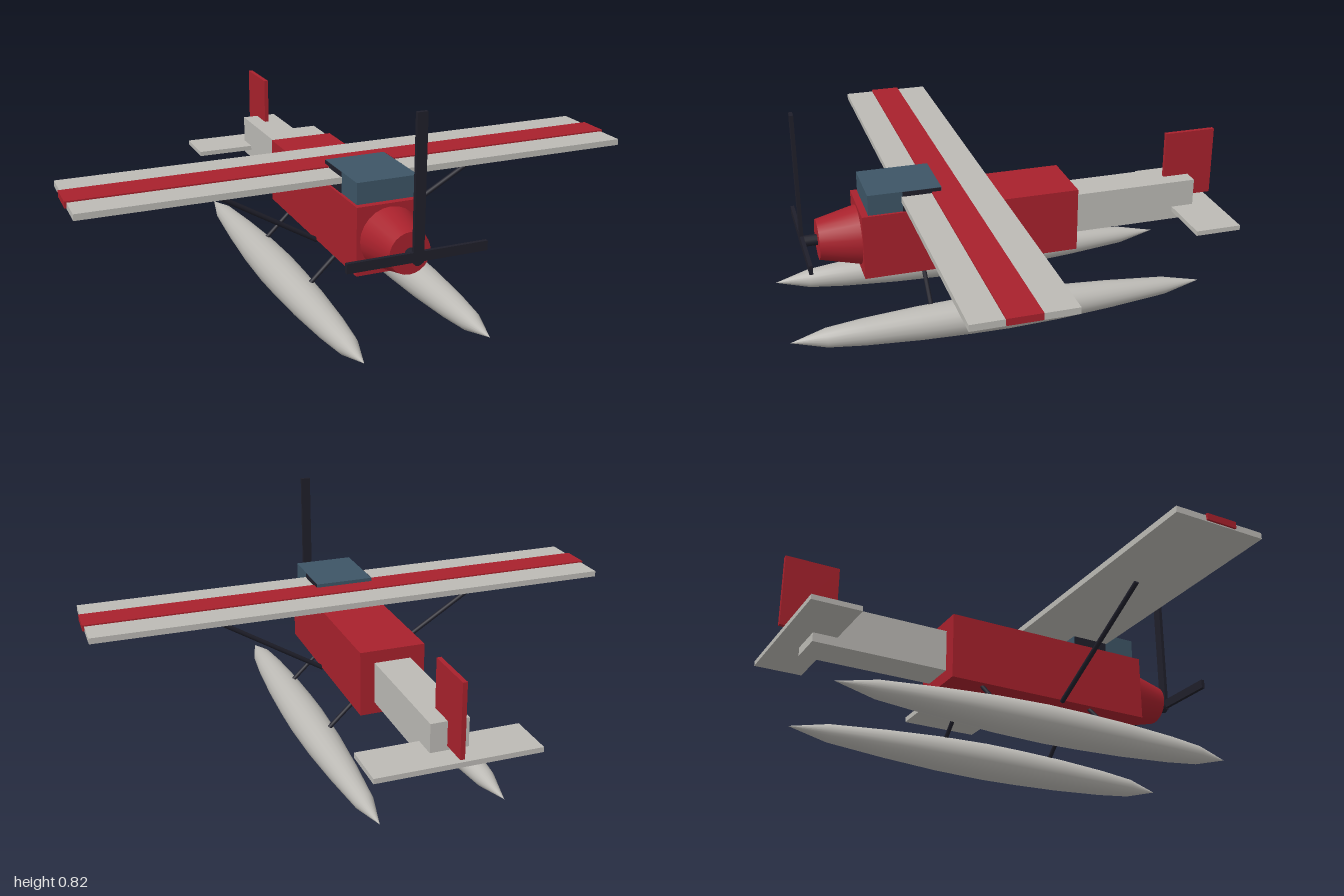
import * as THREE from 'three';

const mat = (name, color) => {
  const m = new THREE.MeshStandardMaterial({ color });
  m.name = name;
  return m;
};

export function createModel() {
  const red = mat('red paint', 0xa8212c);
  const grey = mat('pale grey paint', 0xbcbab5);
  const glass = mat('blue glass', 0x3d5566);
  const dark = mat('dark metal', 0x1f1f2a);
  const plane = new THREE.Group();
  plane.name = 'floatplane';

  const add = (name, geometry, material) => {
    const mesh = new THREE.Mesh(geometry, material);
    mesh.name = name;
    plane.add(mesh);
    return mesh;
  };
  // box given by its limits on each axis
  const box = (name, material, [x0, x1], [y0, y1], [z0, z1]) => {
    const g = new THREE.BoxGeometry(x1 - x0, y1 - y0, z1 - z0);
    g.translate((x0 + x1) / 2, (y0 + y1) / 2, (z0 + z1) / 2);
    return add(name, g, material);
  };
  // round rod between two points
  const rod = (name, a, b, radius) => {
    const p = new THREE.Vector3(...a), q = new THREE.Vector3(...b);
    const d = q.clone().sub(p);
    const mesh = add(name, new THREE.CylinderGeometry(radius, radius, d.length(), 8), dark);
    mesh.position.copy(p).add(q).multiplyScalar(0.5);
    mesh.quaternion.setFromUnitVectors(new THREE.Vector3(0, 1, 0), d.normalize());
  };

  // fuselage and tail boom
  box('fuselage', red, [-0.12, 0.12], [0.22, 0.46], [-0.247, 0.547]);
  box('tailBoom', grey, [-0.067, 0.067], [0.263, 0.415], [-0.737, -0.247]);

  // tapered engine cowl
  const cowl = new THREE.CylinderGeometry(0.073, 0.108, 0.145, 24);
  cowl.rotateX(Math.PI / 2);
  cowl.translate(0, 0.34, 0.6195);
  add('engineCowl', cowl, red);

  // propeller
  const hub = new THREE.CylinderGeometry(0.02, 0.02, 0.06, 12);
  hub.rotateX(Math.PI / 2);
  hub.translate(0, 0.34, 0.72);
  add('propellerHub', hub, dark);
  box('uprightBlade', dark, [-0.018, 0.018], [0.33, 0.82], [0.74, 0.753]);
  box('crossBlade', dark, [-0.245, 0.245], [0.335, 0.368], [0.74, 0.753]);

  // cabin
  box('canopy', glass, [-0.11, 0.11], [0.455, 0.535], [0.26, 0.523]);
  for (const s of [1, -1]) {
    const x = [s * 0.11, s * 0.112].sort((a, b) => a - b);
    box('sideWindow', dark, x, [0.46, 0.534], [0.262, 0.4]);
  }

  // wing and its stripe
  box('wing', grey, [-0.993, 0.993], [0.495, 0.517], [0.07, 0.404]);
  box('wingStripe', red, [-1, 1], [0.499, 0.522], [0.184, 0.296]);

  // tail surfaces
  box('tailplane', grey, [-0.288, 0.288], [0.295, 0.313], [-0.825, -0.651]);
  box('fin', red, [-0.008, 0.008], [0.328, 0.59], [-0.835, -0.638]);

  // floats and struts, mirrored
  const profile = [
    [0, -0.706], [0.034, -0.56], [0.053, -0.34], [0.066, -0.13], [0.071, 0.06],
    [0.069, 0.2], [0.063, 0.38], [0.05, 0.58], [0.036, 0.71], [0, 0.835],
  ].map(([r, z]) => new THREE.Vector2(r, z));
  for (const s of [1, -1]) {
    const float = new THREE.LatheGeometry(profile, 20);
    float.rotateX(Math.PI / 2);
    float.scale(1, 0.95, 1);
    float.translate(s * 0.221, 0.068, 0);
    add('float', float, grey);
    for (const z of [0.33, -0.115]) {
      rod('floatStrut', [s * 0.09, 0.22, z], [s * 0.2, 0.115, z], 0.008);
    }
    rod('wingStrut', [s * 0.115, 0.216, 0.197], [s * 0.575, 0.492, 0.217], 0.009);
  }
  return plane;
}
